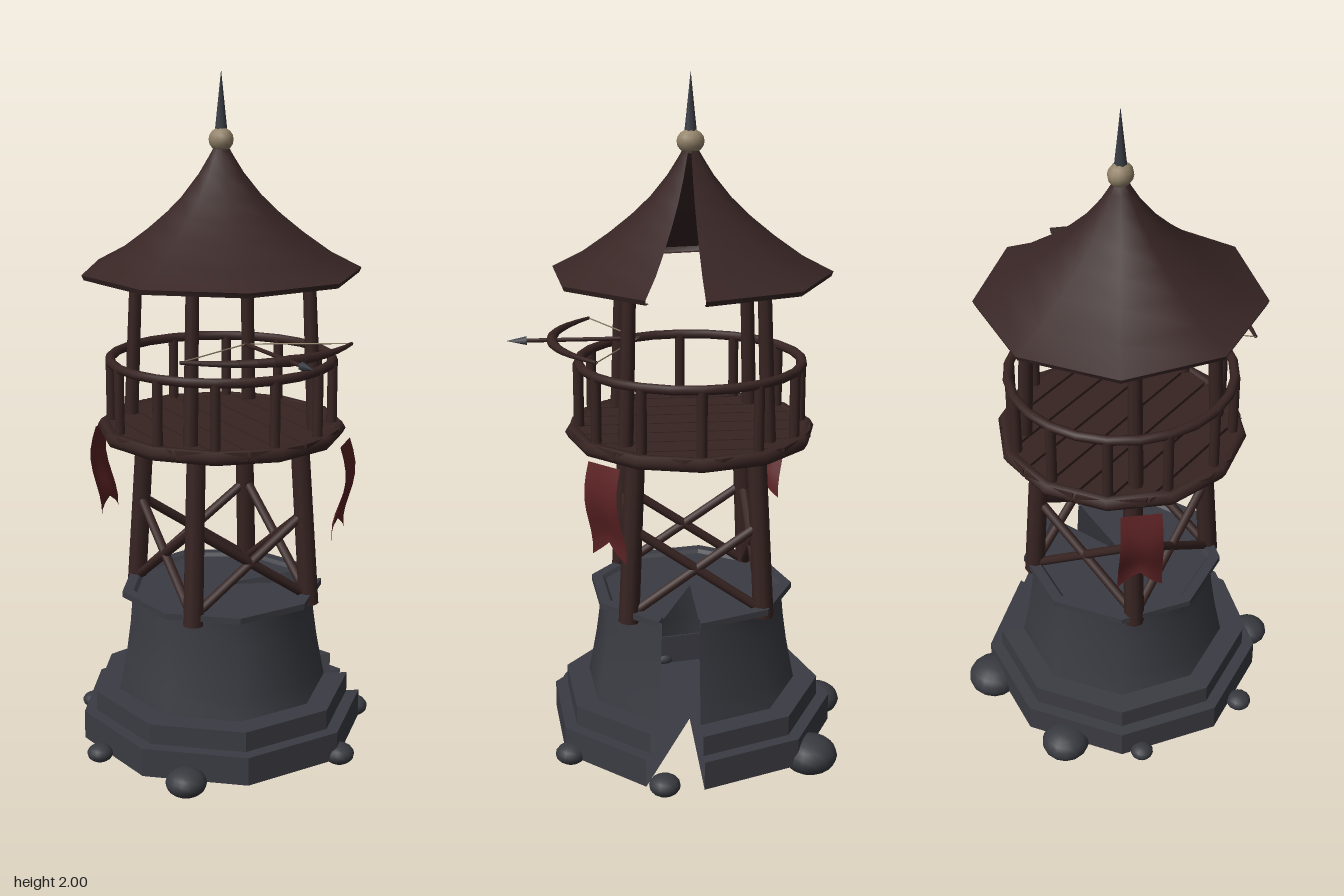
import * as THREE from 'three';
import { toCreasedNormals } from 'three/addons/utils/BufferGeometryUtils.js';

const V = (x, y, z) => new THREE.Vector3(x, y, z);

function material(name, color, side = THREE.FrontSide) {
  const m = new THREE.MeshStandardMaterial({ color, side });
  m.name = name;
  return m;
}

export function createModel() {
  const model = new THREE.Group();
  model.name = 'watchtower';
  const tower = new THREE.Group();
  tower.name = 'tower';
  tower.position.set(0.003, 0, -0.025);
  model.add(tower);

  const stone = material('stone', 0x3b3c43, THREE.DoubleSide);
  const rockGrey = material('rock', 0x383a40);
  const wood = material('wood', 0x372422);
  const shingle = material('roof', 0x382625, THREE.DoubleSide);
  const cloth = material('banner cloth', 0x5c2224, THREE.DoubleSide);
  const bone = material('bone', 0x93836a);
  const iron = material('iron', 0x3a3e45);

  function add(name, geometry, mat, parent = tower) {
    const mesh = new THREE.Mesh(geometry, mat);
    mesh.name = name;
    parent.add(mesh);
    return mesh;
  }

  // Round beam between two points
  function strut(name, a, b, r0, r1 = r0, mat = wood, sides = 8) {
    const dir = b.clone().sub(a);
    const mesh = add(name, new THREE.CylinderGeometry(r1, r0, dir.length(), sides), mat);
    mesh.position.copy(a).add(b).multiplyScalar(0.5);
    mesh.quaternion.setFromUnitVectors(V(0, 1, 0), dir.normalize());
    return mesh;
  }

  // Eight-sided turned shell with an open wedge beside +x
  function shell(name, points, mat, crease) {
    const profile = points.map(([r, y]) => new THREE.Vector2(r, y));
    const geo = new THREE.LatheGeometry(profile, 8, Math.PI / 2, Math.PI * 1.875);
    return add(name, toCreasedNormals(geo, crease), mat);
  }

  // Stone base: stepped plinth, curved wall, capping rim
  shell('plinth', [[0, 0.045], [0.425, 0.045], [0.425, 0.13], [0.387, 0.13],
    [0.387, 0.19], [0.31, 0.19]], stone, 0.5);
  shell('baseWall', [[0.316, 0.19], [0.304, 0.25], [0.291, 0.32], [0.28, 0.4],
    [0.273, 0.48]], stone, 0.8);
  shell('baseRim', [[0.273, 0.482], [0.303, 0.482], [0.303, 0.5], [0.27, 0.5],
    [0.26, 0.49], [0, 0.49]], stone, 0.5);

  // Boulders around the foot: x, z, radius
  [[-0.083, -0.432, 0.072], [0.27, -0.352, 0.081], [-0.295, -0.325, 0.034],
    [-0.42, 0.022, 0.038], [-0.275, 0.3, 0.059], [0.2, 0.345, 0.045],
    [0.408, 0.086, 0.045]].forEach(([x, z, r]) => {
    const rock = add('boulder', new THREE.SphereGeometry(r, 14, 10), rockGrey, model);
    rock.position.set(x, 0.055, z);
    rock.scale.y = 0.68;
  });

  // Four legs below the deck and four posts above it
  for (const sx of [-1, 1]) for (const sz of [-1, 1]) {
    strut('leg', V(sx * 0.19, 0.465, sz * 0.195), V(sx * 0.165, 0.985, sz * 0.17), 0.03, 0.028);
    strut('roofPost', V(sx * 0.198, 0.985, sz * 0.2), V(sx * 0.18, 1.5, sz * 0.183), 0.022, 0.019);
  }

  // Crossed braces on each side
  for (let i = 0; i < 4; i++) for (const s of [-1, 1]) {
    const turn = (v) => v.applyAxisAngle(V(0, 1, 0), i * Math.PI / 2);
    strut('brace', turn(V(-s * 0.185, 0.49, 0.19)), turn(V(s * 0.175, 0.74, 0.18)), 0.014);
  }

  // Deck planks trimmed to a circle
  const deckR = 0.35, pitch = 0.0875, gap = 0.004;
  for (let i = -4; i < 4; i++) {
    const x0 = i * pitch + gap, x1 = (i + 1) * pitch - gap;
    const h0 = Math.sqrt(deckR ** 2 - x0 ** 2), h1 = Math.sqrt(deckR ** 2 - x1 ** 2);
    const outline = new THREE.Shape([[x0, -h0], [x1, -h1], [x1, h1], [x0, h0]]
      .map(([x, z]) => new THREE.Vector2(x, z)));
    const plank = add('deckPlank',
      new THREE.ExtrudeGeometry(outline, { depth: 0.025, bevelEnabled: false }), wood);
    plank.rotation.x = -Math.PI / 2;
    plank.position.y = 0.975;
  }

  // Deck ring, handrail and balusters
  const ring = add('deckRing', new THREE.TorusGeometry(0.342, 0.021, 6, 12), wood);
  ring.rotation.x = Math.PI / 2;
  ring.position.y = 0.983;
  const rail = add('handrail', new THREE.TorusGeometry(0.322, 0.014, 8, 24), wood);
  rail.rotation.x = Math.PI / 2;
  rail.position.y = 1.187;
  for (let i = 0; i < 12; i++) {
    const a = i * Math.PI / 6, x = 0.322 * Math.cos(a), z = 0.322 * Math.sin(a);
    strut('baluster', V(x, 0.98, z), V(x, 1.187, z), 0.015);
  }

  // Swallow-tailed banners, billowing outward, on two opposite corners
  for (const turn of [0, Math.PI]) {
    const geo = new THREE.PlaneGeometry(0.125, 0.28, 6, 8);
    const p = geo.attributes.position;
    for (let i = 0; i < p.count; i++) {
      const u = p.getX(i) / 0.0625, v = 0.5 - p.getY(i) / 0.28;
      p.setX(i, p.getX(i) * (0.93 + 0.1 * v));
      p.setY(i, p.getY(i) + 0.05 * (1 - Math.abs(u)) * v ** 3);
      p.setZ(i, 0.018 * Math.sin(v * 5) + 0.008 * Math.sin(u * 3) * v);
    }
    geo.computeVertexNormals();
    const banner = add('banner', geo, cloth);
    const a = Math.PI / 4 + turn;
    banner.position.set(0.372 * Math.sin(a), 0.825, 0.372 * Math.cos(a));
    banner.rotation.y = a;
  }

  // Mounted bow: tapered limbs, string and bolt
  const limb = (t) => V(0.267 * t, 1.256, 0.395 - 0.115 * t * t);
  const n = 12;
  for (let i = 0; i < n; i++) {
    const t0 = -1 + 2 * i / n, t1 = -1 + 2 * (i + 1) / n;
    const r = (t) => 0.016 - 0.011 * Math.abs(t);
    strut('bowLimb', limb(t0), limb(t1), r(t0), r(t1));
  }
  for (const s of [-1, 1]) strut('bowString', limb(s), V(0, 1.256, 0.15), 0.002, 0.002, bone, 5);
  strut('bolt', V(0, 1.256, 0.145), V(0, 1.256, 0.47), 0.006);
  strut('boltHead', V(0, 1.256, 0.465), V(0, 1.256, 0.523), 0.013, 0, iron, 6);

  // Flared roof with a lip at the eaves
  shell('roof', [[0.375, 1.432], [0.398, 1.432], [0.404, 1.446], [0.315, 1.492], [0.235, 1.549],
    [0.17, 1.602], [0.115, 1.655], [0.065, 1.717], [0.035, 1.765], [0.015, 1.8]], shingle, 0.8);

  // Finial ball and spike
  const ball = add('finialBall', new THREE.SphereGeometry(0.034, 12, 8), bone);
  ball.position.set(0, 1.81, 0);
  ball.scale.z = 1.15;
  strut('finialSpike', V(0, 1.82, 0), V(0, 2, 0), 0.019, 0, iron, 6);

  return model;
}
